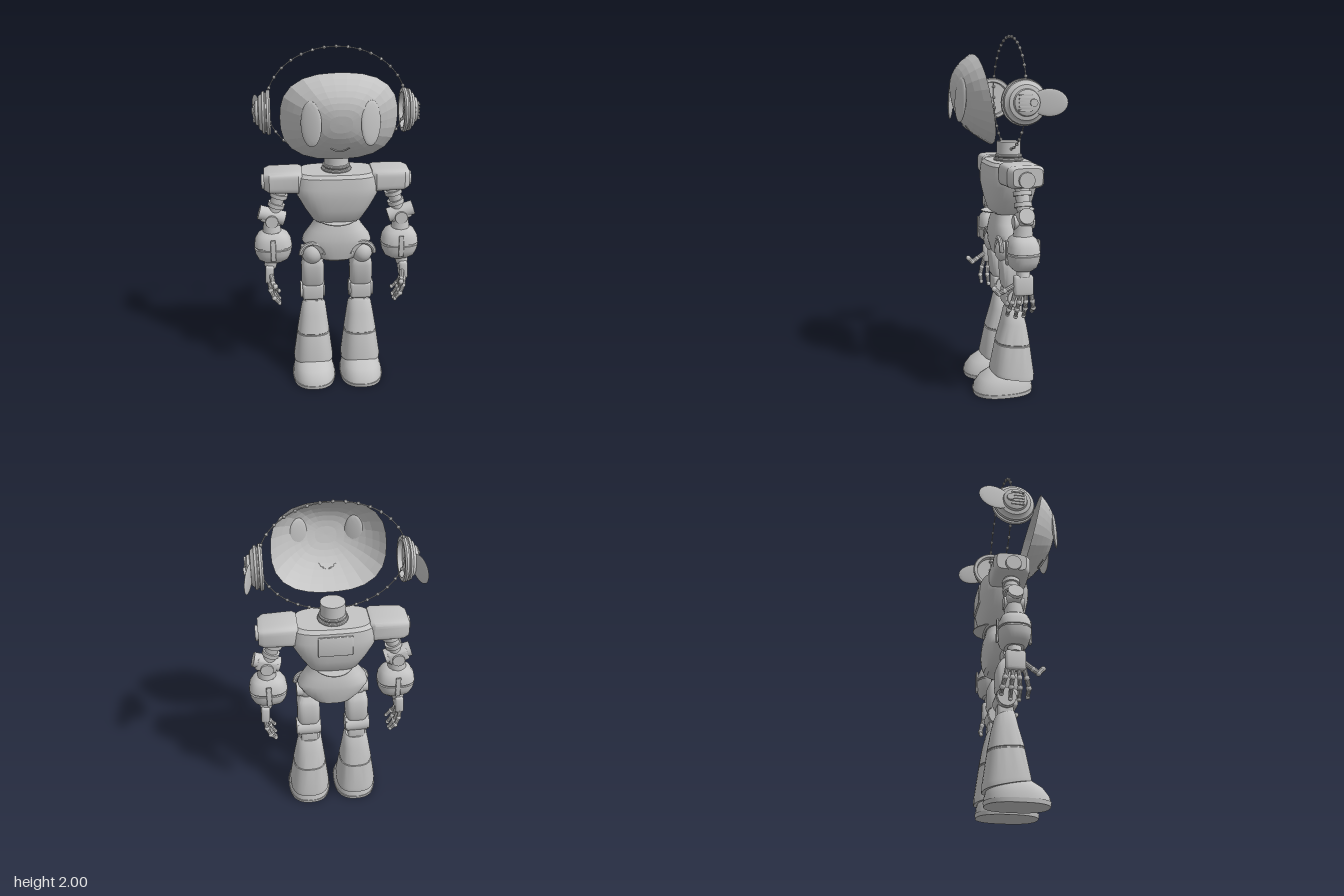
import * as THREE from 'three';
import { toCreasedNormals } from 'three/addons/utils/BufferGeometryUtils.js';
import { RoundedBoxGeometry } from 'three/addons/geometries/RoundedBoxGeometry.js';

const grey = new THREE.MeshStandardMaterial({ color: 0xc4c4c4, side: THREE.DoubleSide });
grey.name = 'light grey';
const V = (x, y, z) => new THREE.Vector3(x, y, z);

function add(parent, name, geo, pos = [0, 0, 0], rot = [0, 0, 0], crease = 0.6) {
  const mesh = new THREE.Mesh(toCreasedNormals(geo, crease), grey);
  mesh.name = name;
  mesh.position.set(...pos);
  mesh.rotation.set(...rot);
  parent.add(mesh);
  return mesh;
}

// Closed loft through superellipse sections [y, cx, cz, rx, rz, tilt]; tilt slopes a section along z
function loft(sections, n = 2, seg = 32) {
  const pos = [], idx = [];
  const pw = v => Math.sign(v) * Math.abs(v) ** (2 / n);
  for (const [y, cx, cz, rx, rz, tilt = 0] of sections) {
    for (let j = 0; j < seg; j++) {
      const a = ((j + 0.5) / seg) * Math.PI * 2, z = rz * pw(Math.sin(a));
      pos.push(cx + rx * pw(Math.cos(a)), y + tilt * z, cz + z);
    }
  }
  const last = sections.length - 1;
  for (let i = 0; i < last; i++) for (let j = 0; j < seg; j++) {
    const k = (j + 1) % seg, a = i * seg + j, b = i * seg + k;
    idx.push(a, a + seg, b, b, a + seg, b + seg);
  }
  for (const s of [0, last]) {
    const c = pos.length / 3;
    pos.push(sections[s][1], sections[s][0], sections[s][2]);
    for (let j = 0; j < seg; j++) {
      const a = s * seg + j, b = s * seg + (j + 1) % seg;
      s ? idx.push(c, b, a) : idx.push(c, a, b);
    }
  }
  const g = new THREE.BufferGeometry();
  g.setAttribute('position', new THREE.Float32BufferAttribute(pos, 3));
  g.setIndex(idx);
  return g;
}

// Cylinder between two points
function rod(parent, name, p, q, r1, r2 = r1, seg = 20) {
  const a = V(...p), b = V(...q), d = b.clone().sub(a);
  const m = add(parent, name, new THREE.CylinderGeometry(r2, r1, d.length(), seg), a.clone().add(b).multiplyScalar(0.5).toArray());
  m.quaternion.setFromUnitVectors(V(0, 1, 0), d.normalize());
}

const box = (w, h, d, r) => new RoundedBoxGeometry(w, h, d, 2, r);
const ball = (x, y, z) => new THREE.SphereGeometry(1, 24, 16).scale(x, y, z);

// Face surface depth at a point of the mask
const RX = 0.31, RY = 0.245, CY = 1.648;
function faceZ(x, y) {
  const r = Math.min(1, (Math.abs(x / RX) ** 2.6 + Math.abs((y - CY) / RY) ** 2.6) ** (1 / 2.6));
  return 0.1 + 0.2 * (y - CY) + 0.152 * (1 - r ** 2.6);
}

function buildHead(root) {
  const head = new THREE.Group();
  head.name = 'head';
  root.add(head);
  // Open curved face shell with broad facets
  const disc = new THREE.RingGeometry(0.001, 1, 26, 8), p = disc.attributes.position;
  for (let i = 0; i < p.count; i++) {
    const a = Math.atan2(p.getY(i), p.getX(i)), r = Math.hypot(p.getX(i), p.getY(i)) ** 0.8;
    const k = r / (Math.abs(Math.cos(a)) ** 2.6 + Math.abs(Math.sin(a)) ** 2.6) ** (1 / 2.6);
    const x = RX * k * Math.cos(a), y = CY + RY * k * Math.sin(a);
    p.setXYZ(i, x, y, faceZ(x, y));
  }
  add(head, 'faceShell', disc, [0, 0, 0], [0, 0, 0], 0.05);
  for (const s of [-1, 1]) add(head, 'eye', ball(0.056, 0.118, 0.013), [s * 0.153, 1.65, 0.235], [-0.06, s * 0.36, 0]);
  // Smile
  const smile = [-0.048, -0.025, 0, 0.025, 0.048].map(x => {
    const y = 1.483 + 10 * x * x;
    return V(x, y, faceZ(x, y) + 0.002);
  });
  add(head, 'smile', new THREE.TubeGeometry(new THREE.CatmullRomCurve3(smile), 16, 0.004, 6));
  // Beaded loop around the head
  const loop = [];
  for (let i = 0; i < 48; i++) {
    const a = (i / 48) * Math.PI * 2;
    loop.push(V(0.38 * Math.sin(a), 1.68 + 0.308 * Math.cos(a), -0.065));
  }
  const curve = new THREE.CatmullRomCurve3(loop, true);
  add(head, 'loopCord', new THREE.TubeGeometry(curve, 96, 0.003, 6, true));
  for (let i = 0; i < 34; i++) {
    add(head, 'bead', new THREE.IcosahedronGeometry(0.0095, 1), curve.getPointAt(i / 34).toArray(), [0, 0, 0], 1);
  }
}

function buildEar(side) {
  const ear = new THREE.Group();
  ear.name = 'earpiece';
  ear.position.set(0.358, 1.642, -0.055);
  side.add(ear);
  // Hollow stepped cup
  const profile = [[0, 0.025], [0.095, 0.025], [0.098, 0], [0.116, 0], [0.122, 0.008], [0.12, 0.02], [0.107, 0.022],
    [0.107, 0.028], [0.116, 0.032], [0.112, 0.044], [0.098, 0.05], [0.09, 0.062], [0.07, 0.066], [0.066, 0.08],
    [0.045, 0.088], [0, 0.09]].map(q => new THREE.Vector2(...q));
  add(ear, 'earCup', new THREE.LatheGeometry(profile, 40).rotateZ(-Math.PI / 2));
  for (let i = -2; i <= 2; i++) add(ear, 'earRib', new THREE.BoxGeometry(0.012, 0.008, 0.07), [0.088, i * 0.019, 0.012]);
  rod(ear, 'finHub', [0.07, 0, -0.03], [0.1, 0, -0.03], 0.02);
  // Swept back leaf fin
  add(ear, 'earFin', ball(0.007, 0.07, 0.095), [0.077, 0, -0.115], [0, -0.25, 0]);
}

function buildTorso(root) {
  add(root, 'chest', loft([[1.015, 0, -0.06, 0.12, 0.09], [1.03, 0, -0.06, 0.14, 0.105], [1.1, 0, -0.06, 0.185, 0.125],
    [1.18, 0, -0.06, 0.228, 0.14], [1.23, 0, -0.06, 0.24, 0.14], [1.29, 0, -0.06, 0.225, 0.132],
    [1.308, 0, -0.06, 0.205, 0.115]], 3.4, 40));
  add(root, 'backPanel', box(0.19, 0.12, 0.012, 0.005), [0, 1.215, -0.198], [0.03, 0, 0]);
  add(root, 'waistPlate', new THREE.CylinderGeometry(1, 1, 0.005, 40).scale(0.12, 1, 0.155), [0, 1.025, -0.062]);
  add(root, 'pelvis', loft([[0.77, 0, -0.06, 0.09, 0.07], [0.785, 0, -0.06, 0.115, 0.09], [0.83, 0, -0.06, 0.165, 0.1],
    [0.885, 0, -0.06, 0.2, 0.105], [0.91, 0, -0.06, 0.192, 0.105], [0.96, 0, -0.06, 0.155, 0.1],
    [1.005, 0, -0.06, 0.125, 0.088], [1.02, 0, -0.06, 0.12, 0.085]], 2.6, 36));
  for (const [y, r] of [[1.315, 0.085], [1.335, 0.078]]) {
    add(root, 'neckRing', new THREE.TorusGeometry(r - 0.01, 0.01, 10, 32), [0, y, -0.065], [Math.PI / 2, 0, 0]);
  }
  rod(root, 'neck', [0, 1.29, -0.065], [0, 1.345, -0.065], 0.06, 0.06, 32);
  rod(root, 'neckPost', [0, 1.34, -0.065], [0, 1.415, -0.065], 0.068, 0.068, 32);
}

function buildArm(side) {
  const arm = new THREE.Group();
  arm.name = 'arm';
  side.add(arm);
  // Chamfered shoulder block and outer cap
  add(arm, 'shoulder', loft([[-0.112, 0, 0, 0.058, 0.088], [-0.09, 0, 0, 0.064, 0.103], [0.07, 0, -0.004, 0.06, 0.1],
    [0.1, 0, -0.01, 0.048, 0.08]], 5, 32).rotateZ(-Math.PI / 2), [0.307, 1.258, -0.06]);
  rod(arm, 'shoulderCap', [0.395, 1.245, -0.062], [0.422, 1.245, -0.062], 0.045, 0.042, 24);
  // Upper arm sleeve and elbow
  rod(arm, 'upperArm', [0.315, 1.21, -0.06], [0.362, 1.04, -0.06], 0.04, 0.034);
  rod(arm, 'upperArmRing', [0.323, 1.175, -0.06], [0.329, 1.152, -0.06], 0.05);
  rod(arm, 'upperArmRing', [0.339, 1.117, -0.06], [0.346, 1.094, -0.06], 0.048);
  add(arm, 'elbowBlock', box(0.125, 0.08, 0.075, 0.018), [0.37, 1.035, -0.06], [0, 0, 0.3]);
  rod(arm, 'elbowPin', [0.298, 1.02, -0.055], [0.443, 1.065, -0.055], 0.042);
  rod(arm, 'elbowPivot', [0.37, 1.02, -0.11], [0.37, 1.02, 0], 0.036);
  rod(arm, 'forearmNeck', [0.372, 1.02, -0.055], [0.372, 0.93, -0.052], 0.045, 0.055);
  // Rounded forearm with a groove around it
  add(arm, 'forearm', loft([[0.765, 0.368, -0.052, 0.06, 0.05], [0.785, 0.368, -0.052, 0.088, 0.072],
    [0.82, 0.368, -0.052, 0.104, 0.084], [0.852, 0.368, -0.052, 0.109, 0.088], [0.854, 0.368, -0.052, 0.102, 0.081],
    [0.862, 0.368, -0.052, 0.102, 0.081], [0.864, 0.368, -0.052, 0.109, 0.088], [0.9, 0.368, -0.052, 0.103, 0.084],
    [0.932, 0.368, -0.052, 0.085, 0.07], [0.95, 0.368, -0.052, 0.055, 0.05]], 2.7, 32));
  for (const z of [-0.14, 0.034]) add(arm, 'forearmBand', box(0.03, 0.13, 0.012, 0.005), [0.368, 0.858, z]);
  // Hand with four curled fingers and a thumb
  rod(arm, 'wrist', [0.375, 0.78, -0.052], [0.39, 0.725, -0.052], 0.036);
  add(arm, 'palm', box(0.05, 0.11, 0.105, 0.014), [0.394, 0.685, -0.05], [0, 0, 0.06]);
  for (let i = 0; i < 4; i++) {
    const z = -0.09 + i * 0.028, e = -0.112 + i * 0.045, tip = [0.525, 0.5, 0.498, 0.515][i];
    const pts = [[0.397, 0.645, z], [0.392, 0.595, z * 0.5 + e * 0.5], [0.372, 0.55, e], [0.342, tip, e]];
    for (let k = 0; k < 3; k++) {
      rod(arm, 'finger', pts[k], pts[k + 1], 0.014 - k * 0.001, 0.012 - k * 0.001, 10);
      add(arm, 'knuckle', ball(0.015, 0.015, 0.015), pts[k + (k ? 0 : 1)]);
    }
    add(arm, 'fingertip', ball(0.012, 0.013, 0.012), pts[3]);
  }
  const thumb = [[0.385, 0.69, -0.015], [0.375, 0.655, 0.045], [0.365, 0.638, 0.075], [0.362, 0.665, 0.1]];
  for (let k = 0; k < 3; k++) {
    rod(arm, 'thumb', thumb[k], thumb[k + 1], 0.015, 0.013, 10);
    add(arm, 'thumbJoint', ball(0.015, 0.015, 0.015), thumb[k + 1]);
  }
}

function buildLeg(side) {
  const leg = new THREE.Group();
  leg.name = 'leg';
  side.add(leg);
  // Hip ball under an arched guard
  add(leg, 'hipBall', ball(0.062, 0.07, 0.068), [0.145, 0.82, -0.02]);
  add(leg, 'hipGuard', new THREE.TorusGeometry(0.066, 0.013, 8, 24, Math.PI), [0.145, 0.825, 0.025]);
  rod(leg, 'hipPin', [0.085, 0.82, -0.04], [0.208, 0.82, -0.04], 0.04);
  // Thigh and knee
  add(leg, 'thigh', loft([[0.6, 0.142, -0.055, 0.055, 0.05], [0.625, 0.142, -0.052, 0.066, 0.062],
    [0.735, 0.142, -0.045, 0.066, 0.065], [0.76, 0.142, -0.04, 0.06, 0.06], [0.79, 0.142, -0.035, 0.045, 0.045]], 4));
  rod(leg, 'knee', [0.08, 0.56, -0.06], [0.205, 0.56, -0.06], 0.055, 0.055, 28);
  for (const x of [0.072, 0.2]) rod(leg, 'kneeDisc', [x, 0.56, -0.06], [x + 0.016, 0.56, -0.06], 0.05, 0.05, 28);
  add(leg, 'kneePlate', box(0.124, 0.1, 0.06, 0.015), [0.142, 0.562, -0.028]);
  add(leg, 'kneeStem', box(0.1, 0.1, 0.085, 0.015), [0.141, 0.49, -0.06]);
  // Flared shin with a seam and a sloping hem
  add(leg, 'shin', loft([[0.095, 0.144, -0.05, 0.118, 0.124, 0.2], [0.12, 0.144, -0.05, 0.119, 0.125, 0.15],
    [0.28, 0.142, -0.054, 0.098, 0.098, 0.1], [0.283, 0.142, -0.054, 0.094, 0.094, 0.1],
    [0.289, 0.142, -0.054, 0.094, 0.094, 0.1], [0.292, 0.142, -0.054, 0.097, 0.097, 0.1],
    [0.4, 0.14, -0.06, 0.081, 0.072, 0.15], [0.47, 0.138, -0.061, 0.07, 0.055, 0.3],
    [0.485, 0.138, -0.061, 0.06, 0.048, 0.3]], 2.6, 36));
  // Rounded shoe on a flat sole
  add(leg, 'sole', loft([[0, 0.144, 0.005, 0.127, 0.168], [0.022, 0.144, 0.005, 0.13, 0.172]], 2.5, 36));
  add(leg, 'shoe', loft([[0.02, 0.144, 0.005, 0.127, 0.17], [0.05, 0.144, 0.003, 0.124, 0.165],
    [0.085, 0.144, -0.01, 0.113, 0.145, 0.06], [0.115, 0.144, -0.03, 0.095, 0.115, 0.1],
    [0.135, 0.144, -0.045, 0.07, 0.085, 0.1]], 2.4, 36));
}

export function createModel() {
  const root = new THREE.Group();
  root.name = 'robot';
  buildHead(root);
  buildTorso(root);
  for (const s of [1, -1]) {
    const side = new THREE.Group();
    side.name = s > 0 ? 'leftSide' : 'rightSide';
    side.scale.x = s;
    buildEar(side);
    buildArm(side);
    buildLeg(side);
    root.add(side);
  }
  return root;
}
